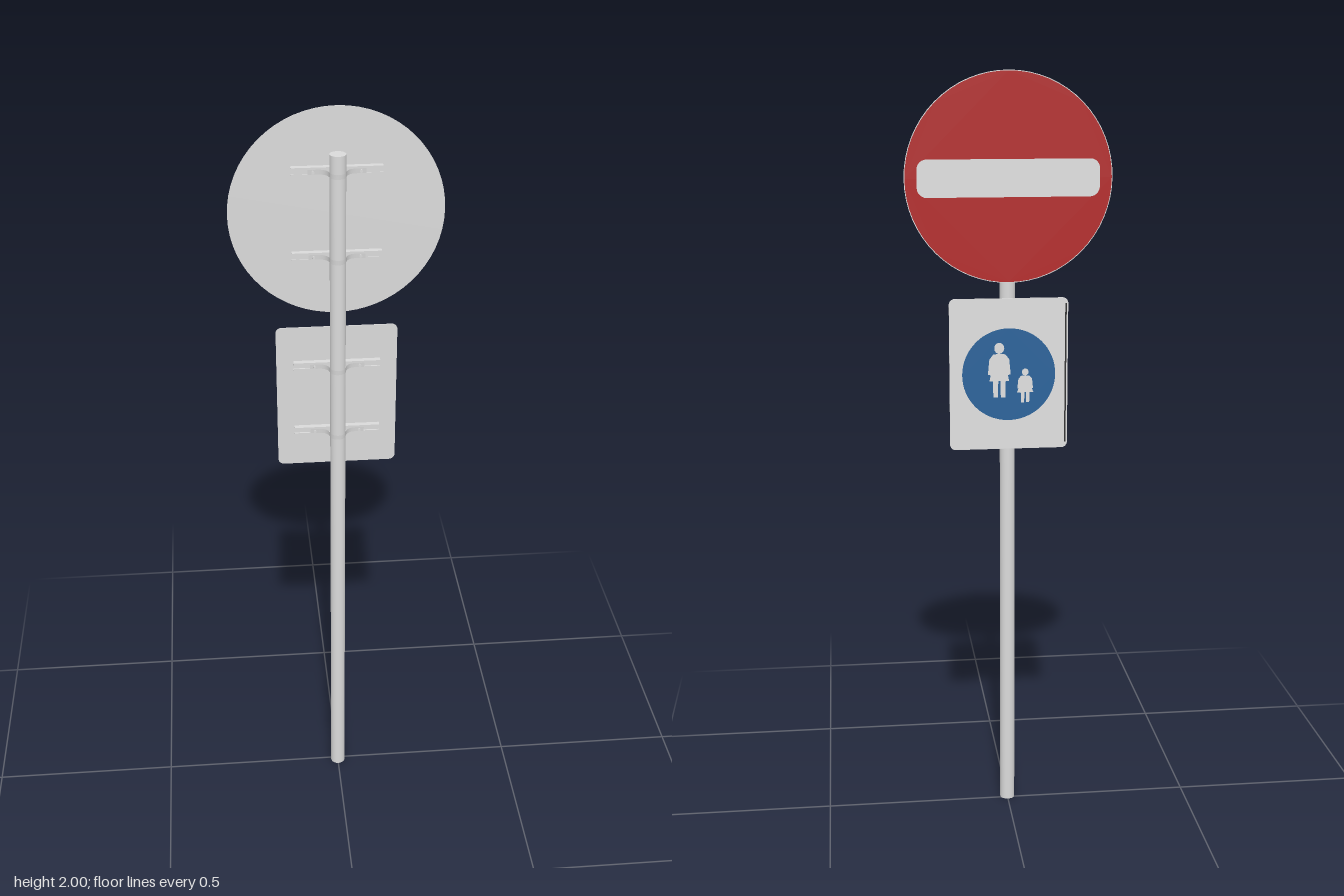
import * as THREE from 'three';

const mat = (name, color, side = THREE.FrontSide) => {
  const m = new THREE.MeshStandardMaterial({ color, side });
  m.name = name;
  return m;
};

const POLE_Z = 0.0075, POLE_R = 0.02;
const SIGN_BACK = -0.0265, SIGN_FACE = -0.0295;

function roundedRect(w, h, r) {
  const s = new THREE.Shape(), x = w / 2, y = h / 2;
  s.moveTo(-x + r, -y);
  s.lineTo(x - r, -y).absarc(x - r, -y + r, r, -Math.PI / 2, 0);
  s.lineTo(x, y - r).absarc(x - r, y - r, r, 0, Math.PI / 2);
  s.lineTo(-x + r, y).absarc(-x + r, y - r, r, Math.PI / 2, Math.PI);
  s.lineTo(-x, -y + r).absarc(-x + r, -y + r, r, Math.PI, Math.PI * 1.5);
  return s;
}

const disc = (r) => new THREE.Shape().absarc(0, 0, r, 0, Math.PI * 2);

// Walking figure of unit height, centred on the origin
function figureShapes(skirt) {
  const half = [[0, 0.3], [0.12, 0.29], [0.2, 0.2], [0.23, -0.08], [0.16, -0.09],
    [0.13, 0.08], [skirt, -0.2], [0.13, -0.2], [0.12, -0.5], [0.03, -0.5], [0.02, -0.2]];
  const pts = [...half, ...half.slice(1).reverse().map(([x, y]) => [-x, y])];
  const body = new THREE.Shape(pts.map(([x, y]) => new THREE.Vector2(x, y)));
  return [body, new THREE.Shape().absarc(0, 0.4, 0.1, 0, Math.PI * 2)];
}

export function createModel() {
  const steel = mat('galvanised steel', 0xdadada);
  const strapSteel = mat('strap steel', 0xd2d2d2, THREE.DoubleSide);
  const white = mat('sign white', 0xe0e0e0);
  const red = mat('sign red', 0xb32525);
  const blue = mat('sign blue', 0x28629a);
  const dark = mat('edge dark', 0x303030);

  const model = new THREE.Group();
  model.name = 'roadSign';
  const add = (parent, name, geo, material, x = 0, y = 0, z = 0) => {
    const m = new THREE.Mesh(geo, material);
    m.name = name;
    m.position.set(x, y, z);
    parent.add(m);
    return m;
  };

  // Pole
  add(model, 'pole', new THREE.CylinderGeometry(POLE_R, POLE_R, 1.895, 32), steel, 0, 0.9475, POLE_Z);

  // Sheet metal panel and painted faces; the faces look towards -z
  const panel = (parent, name, shape, y) => add(parent, name,
    new THREE.ExtrudeGeometry(shape, { depth: SIGN_BACK - SIGN_FACE, bevelEnabled: false, curveSegments: 32 }),
    steel, 0, y, SIGN_FACE);
  const paint = (parent, name, shape, material, layer, x, y) => {
    const m = add(parent, name, new THREE.ShapeGeometry(shape, 32), material, x, y, SIGN_FACE - layer * 0.0005);
    m.rotation.y = Math.PI;
    return m;
  };

  // Round sign
  const round = new THREE.Group();
  round.name = 'roundSign';
  model.add(round);
  panel(round, 'roundPanel', disc(0.265), 1.735);
  paint(round, 'redFace', disc(0.263), red, 1, 0, 1.735);
  paint(round, 'whiteBar', roundedRect(0.465, 0.095, 0.025), white, 2, 0, 1.735);

  // Rectangular sign
  const plate = new THREE.Group();
  plate.name = 'rectangularSign';
  model.add(plate);
  panel(plate, 'rectangularPanel', roundedRect(0.31, 0.4, 0.015), 1.23);
  paint(plate, 'whiteFace', roundedRect(0.308, 0.398, 0.014), white, 1, 0, 1.23);
  paint(plate, 'edgeLine', roundedRect(0.004, 0.37, 0.001), dark, 2, -0.149, 1.23);
  paint(plate, 'blueDisc', disc(0.122), blue, 2, 0, 1.23);
  for (const [name, x, y, h, w, skirt] of [
    ['adult', 0.025, 1.242, 0.145, 0.13, 0.2], ['child', -0.043, 1.2, 0.09, 0.09, 0.24]]) {
    for (const shape of figureShapes(skirt)) {
      paint(plate, name + 'Figure', shape, white, 3, x, y).scale.set(w, h, 1);
    }
  }

  // C-shaped rail profile, drawn in depth (x) and height (y), slot towards the pole
  const D = 0.014, H = 0.011, T = 0.0015, LIP = 0.005;
  const rail = new THREE.Shape([[0, -H], [D, -H], [D, -LIP], [D - T, -LIP], [D - T, -H + T], [T, -H + T],
    [T, H - T], [D - T, H - T], [D - T, LIP], [D, LIP], [D, H], [0, H]].map(([x, y]) => new THREE.Vector2(x, y)));
  const railGeo = new THREE.ExtrudeGeometry(rail, { depth: 0.222, bevelEnabled: false });
  railGeo.translate(0, 0, -0.111).rotateY(-Math.PI / 2);

  // Strap that leaves the rail, wraps the pole and returns
  const wrap = [[-0.07, -0.0115], [-0.055, -0.0115], [-0.042, -0.0112], [-0.031, -0.007], [-0.0235, 0.001]];
  const path = [...wrap];
  for (let i = 0; i <= 8; i++) {
    const a = Math.PI * (1 - i / 8);
    path.push([Math.cos(a) * 0.0208, POLE_Z + Math.sin(a) * 0.0208]);
  }
  path.push(...wrap.map(([x, z]) => [-x, z]).reverse());
  const curve = new THREE.CatmullRomCurve3(path.map(([x, z]) => new THREE.Vector3(x, 0, z)));
  const strapGeo = new THREE.PlaneGeometry(1, 0.012, 64, 1);
  const pos = strapGeo.attributes.position;
  for (let i = 0; i < pos.count; i++) {
    const p = curve.getPointAt(THREE.MathUtils.clamp(pos.getX(i) + 0.5, 0, 1));
    pos.setXYZ(i, p.x, pos.getY(i), p.z);
  }
  strapGeo.computeVertexNormals();

  const boltGeo = new THREE.CylinderGeometry(0.004, 0.004, 0.005, 6).rotateX(Math.PI / 2);

  // Four rails with straps and bolts
  for (const y of [1.845, 1.627, 1.325, 1.135]) {
    const bracket = new THREE.Group();
    bracket.name = 'bracket';
    bracket.position.y = y;
    model.add(bracket);
    add(bracket, 'rail', railGeo, steel, 0, 0, SIGN_BACK);
    add(bracket, 'strap', strapGeo, strapSteel);
    for (const s of [-1, 1]) add(bracket, 'bolt', boltGeo, steel, s * 0.058, 0, -0.0095);
  }
  return model;
}
